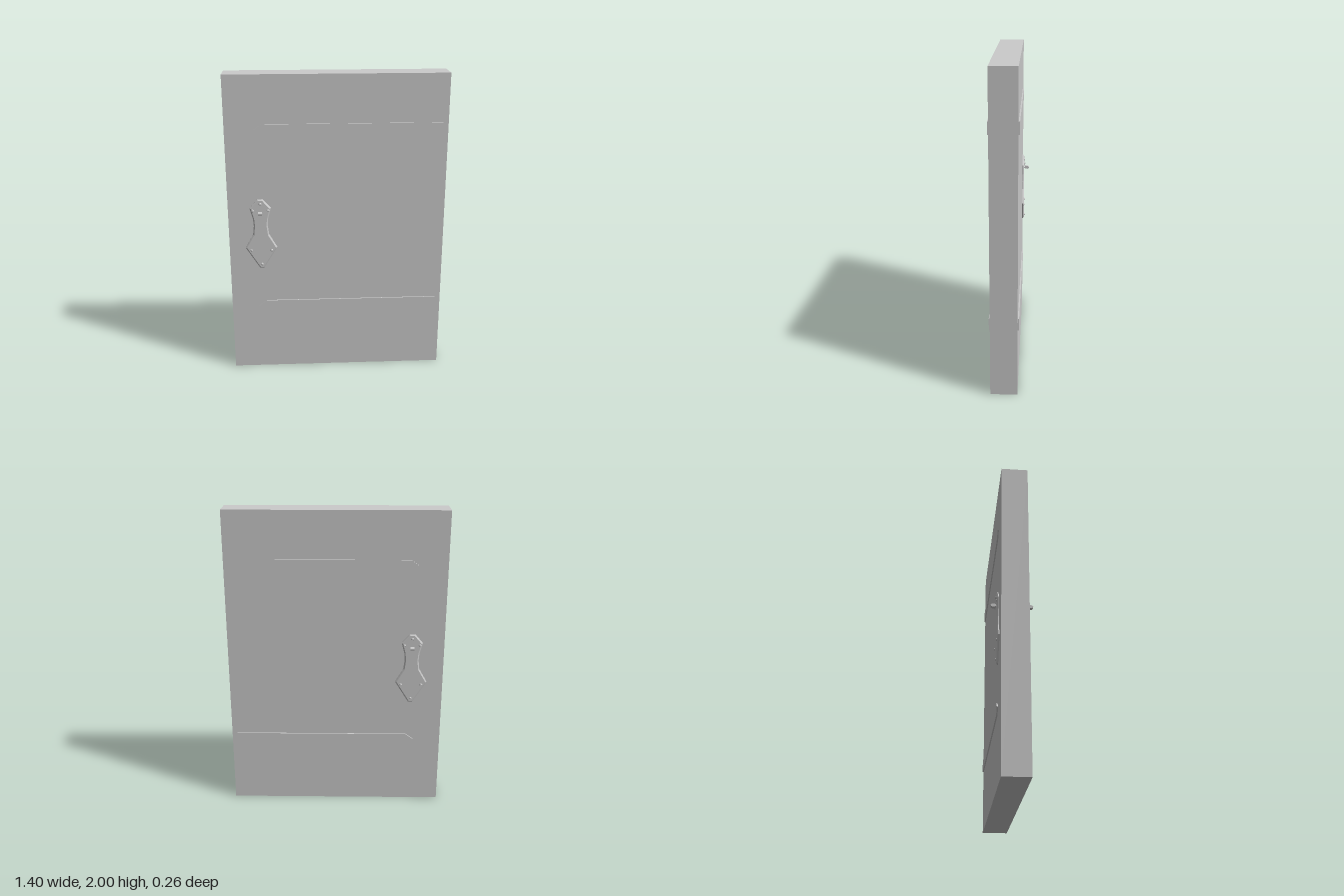
import * as THREE from 'three';

const material = new THREE.MeshStandardMaterial({ color: 0xcccccc, flatShading: true });
const FACE = 0.083; // half thickness of the door

function add(parent, name, geometry, x = 0, y = 0, z = 0) {
  const mesh = new THREE.Mesh(geometry, material);
  mesh.name = name;
  mesh.position.set(x, y, z);
  parent.add(mesh);
  return mesh;
}

// Pointed hinge strap, symmetric about its own y = 0
function strapGeometry() {
  const points = [[-0.52, 0], [-0.47, -0.0375], [0.664, -0.0375], [0.664, 0.0375], [-0.47, 0.0375]];
  const shape = new THREE.Shape(points.map(([x, y]) => new THREE.Vector2(x, y)));
  return new THREE.ExtrudeGeometry(shape, { depth: 0.008, bevelEnabled: false });
}

// Waisted lock plate with a bevelled rim
function plateGeometry() {
  const half = [[0.014, 0.737], [0.103, 0.88], [0.052, 0.97], [0.045, 1.03], [0.049, 1.08], [0.068, 1.15], [0.018, 1.209]];
  const right = half.map(([x, y]) => new THREE.Vector2(x, y));
  const left = half.map(([x, y]) => new THREE.Vector2(-x, y)).reverse();
  const geometry = new THREE.ExtrudeGeometry(new THREE.Shape([...right, ...left]), {
    depth: 0.006, bevelThickness: 0.006, bevelSize: 0.008, bevelOffset: -0.008, bevelSegments: 1,
  });
  return geometry;
}

// Lock plate with rivets and thumb latch, facing +z
function createLock() {
  const lock = new THREE.Group();
  add(lock, 'lockPlate', plateGeometry(), 0, 0, FACE);

  const rivet = new THREE.CylinderGeometry(0.006, 0.01, 0.008, 8).rotateX(Math.PI / 2);
  const spots = [[0, 1.18], [-0.05, 1.135], [0.05, 1.135], [-0.066, 0.862], [0.066, 0.862], [0, 0.765]];
  for (const [x, y] of spots) add(lock, 'rivet', rivet, x, y, FACE + 0.015);

  // Rounded thumb latch standing out of the plate
  const latch = new THREE.CylinderGeometry(0.011, 0.011, 0.025, 10).rotateZ(Math.PI / 2).scale(1, 1, 1.6);
  add(lock, 'thumbLatch', latch, 0, 1.122, 0.113);
  add(lock, 'latchStem', new THREE.BoxGeometry(0.012, 0.012, 0.03), 0, 1.122, 0.095);
  return lock;
}

export function createModel() {
  const model = new THREE.Group();
  model.name = 'door';

  add(model, 'doorPanel', new THREE.BoxGeometry(1.398, 2, FACE * 2), 0, 1, 0);

  // Straps on both faces
  const strap = strapGeometry();
  for (const y of [0.459, 1.657]) {
    add(model, 'frontStrap', strap, 0, y, FACE);
    add(model, 'backStrap', strap, 0, y, -FACE - 0.008);
  }

  // Locks on both faces
  for (const side of ['front', 'back']) {
    const lock = createLock();
    lock.name = side + 'Lock';
    lock.position.x = -0.492;
    if (side === 'back') lock.rotation.y = Math.PI;
    model.add(lock);
  }
  return model;
}
